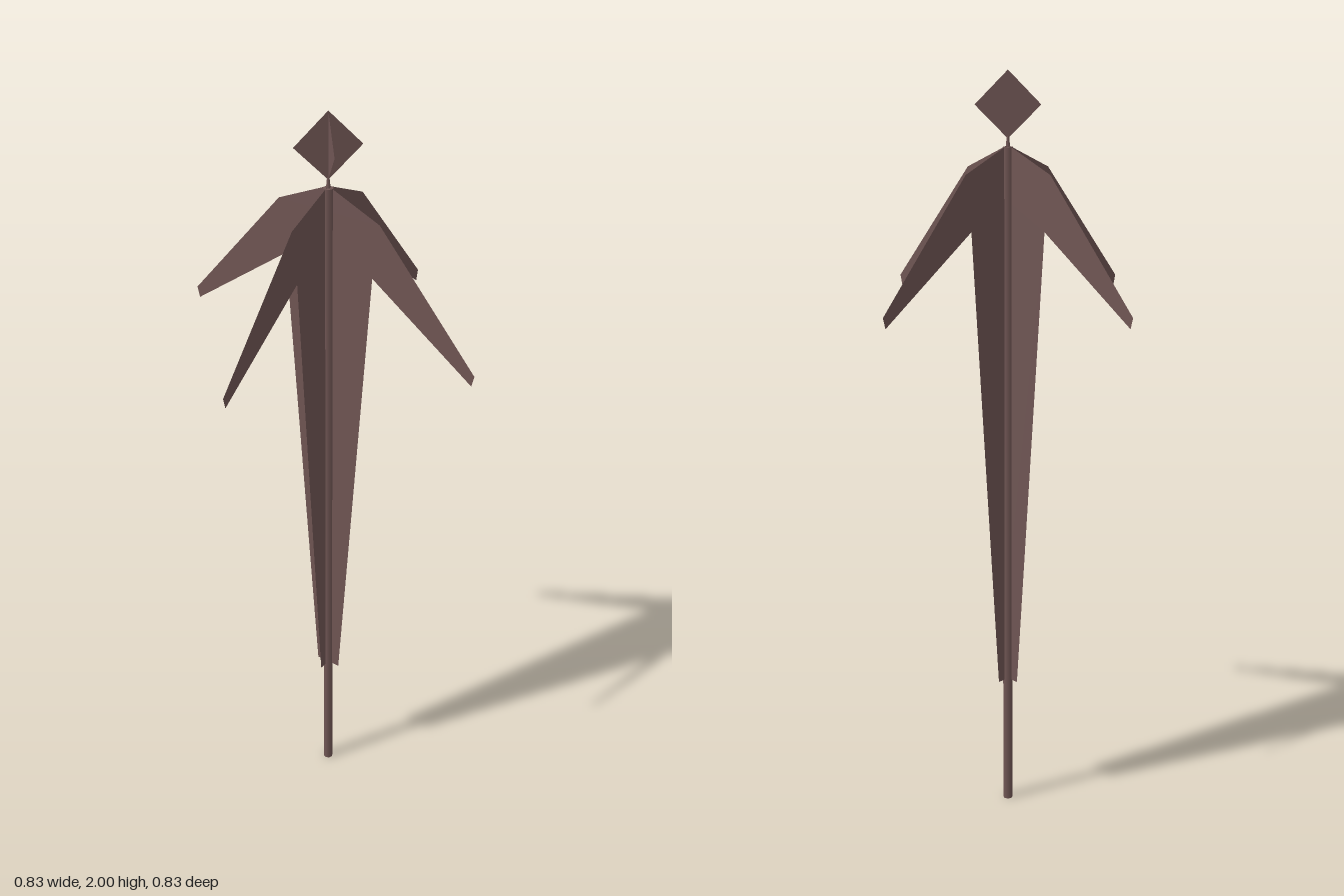
import * as THREE from 'three';

// Symmetric flat outline: right-hand points, mirrored to the other side
function mirroredPlate(points) {
  const left = points.filter(([x]) => x > 0).map(([x, y]) => [-x, y]).reverse();
  const outline = [...points, ...left].map(([x, y]) => new THREE.Vector2(x, y));
  return new THREE.ShapeGeometry(new THREE.Shape(outline));
}

export function createModel() {
  const model = new THREE.Group();
  model.name = 'crossedPlateFigure';

  const brown = new THREE.MeshStandardMaterial({ color: 0x705654, side: THREE.DoubleSide });
  brown.name = 'dull brown';

  // Two identical plates crossing at right angles on the vertical axis
  function addCrossed(name, geometry, startAngle) {
    const group = new THREE.Group();
    group.name = name;
    for (let i = 0; i < 2; i++) {
      const plate = new THREE.Mesh(geometry, brown);
      plate.name = name + 'Plate';
      plate.rotation.y = startAngle + i * Math.PI / 2;
      group.add(plate);
    }
    model.add(group);
  }

  // Robe with drooping sleeves
  addCrossed('body', mirroredPlate([
    [0, 1.82], [0.145, 1.757], [0.417, 1.445], [0.41, 1.417], [0.127, 1.617], [0.035, 0.37],
  ]), 0);

  // Diamond head, turned to the diagonals
  addCrossed('head', mirroredPlate([[0, 2], [0.082, 1.917], [0, 1.835]]), Math.PI / 4);

  // Central pole
  const pole = new THREE.Mesh(new THREE.CylinderGeometry(0.013, 0.013, 1.815, 8), brown);
  pole.name = 'pole';
  pole.position.y = 1.815 / 2;
  model.add(pole);

  // Short thin neck joining pole and head
  const neck = new THREE.Mesh(new THREE.CylinderGeometry(0.003, 0.006, 0.03, 8), brown);
  neck.name = 'neck';
  neck.position.y = 1.826;
  model.add(neck);

  return model;
}
